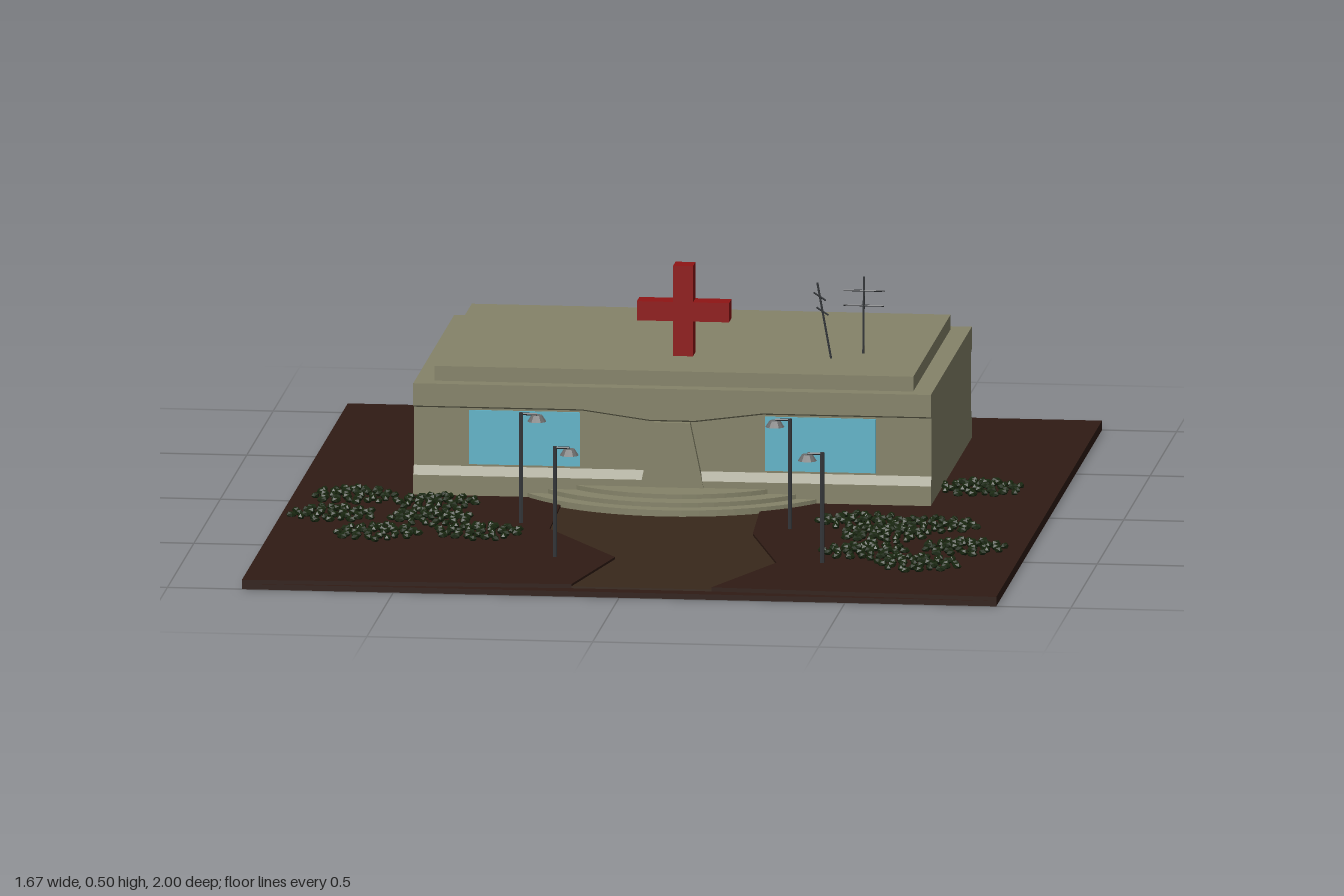
import * as THREE from 'three';
import { mergeGeometries } from 'three/addons/utils/BufferGeometryUtils.js';

const mat = (color) => new THREE.MeshStandardMaterial({ color, flatShading: true });
const M = {
  soil: mat(0x2f1b14), path: mat(0x38281b), wall: mat(0x858369), glass: mat(0x62b4c8),
  red: mat(0x8f1414), leaf: mat(0x18260f), metal: mat(0x34373a), lamp: mat(0x6c6c6c),
};

export function createModel() {
  const root = new THREE.Group();
  const add = (name, geo, material, x = 0, y = 0, z = 0, parent = root) => {
    const m = new THREE.Mesh(geo, material);
    m.name = name;
    m.position.set(x, y, z);
    parent.add(m);
    return m;
  };
  // box given by its limits
  const box = (name, material, x0, x1, y0, y1, z0, z1, parent) =>
    add(name, new THREE.BoxGeometry(x1 - x0, y1 - y0, z1 - z0), material,
      (x0 + x1) / 2, (y0 + y1) / 2, (z0 + z1) / 2, parent);
  // thin rod between two points
  const rod = (name, a, b, r, material = M.metal, parent = root) => {
    const p = new THREE.Vector3(...a), q = new THREE.Vector3(...b);
    const m = add(name, new THREE.CylinderGeometry(r, r, p.distanceTo(q), 6), material, 0, 0, 0, parent);
    m.position.copy(p).add(q).multiplyScalar(0.5);
    m.quaternion.setFromUnitVectors(new THREE.Vector3(0, 1, 0), q.sub(p).normalize());
  };
  // flat slab from an outline of [x, z] points
  const slab = (name, pts, y0, y1, material) => {
    const shape = new THREE.Shape(pts.map(([x, z]) => new THREE.Vector2(x, -z)));
    const geo = new THREE.ExtrudeGeometry(shape, { depth: y1 - y0, bevelEnabled: false });
    add(name, geo.rotateX(-Math.PI / 2), material, 0, y0, 0);
  };

  // Ground with a sunken winding path
  const leftEdge = [[-0.24, 0], [-0.23, 0.35], [-0.05, 0.65], [-0.11, 0.965]];
  const rightEdge = [[0.2, 0], [0.22, 0.35], [0.31, 0.67], [0.2, 0.965]];
  box('groundBase', M.soil, -0.835, 0.835, 0, 0.012, -1, 1);
  slab('path', [...leftEdge, ...rightEdge.slice().reverse()], 0.012, 0.016, M.path);
  slab('leftLawn', [[-0.835, -1], [0, -1], [0, 0], ...leftEdge, [-0.835, 1]], 0.012, 0.021, M.soil);
  slab('rightLawn', [[0.835, -1], [0, -1], [0, 0], ...rightEdge, [0.835, 1]], 0.012, 0.021, M.soil);

  // Building body: a cornice-wall-plinth section carried along x, cornice dipping at the middle
  const midZ = -0.3875, inset = 0.012;
  const stations = [[-0.573, 0.215], [-0.2, 0.215], [-0.05, 0.195], [0.05, 0.195], [0.2, 0.215], [0.573, 0.215]];
  const rings = stations.map(([x, drop]) => {
    const half = [[0, 0.27], [0, drop + 0.005], [-inset, drop], [-inset, 0.085], [0, 0.065], [0, 0.015]];
    const back = half.map(([z, y]) => [2 * midZ - z, y]).reverse();
    return [...half, ...back].map(([z, y]) => [x, y, z]);
  });
  const n = rings[0].length, pos = [];
  const quad = (a, b, c, d) => pos.push(...a, ...b, ...c, ...a, ...c, ...d);
  for (let s = 0; s < rings.length - 1; s++) {
    for (let i = 0; i < n; i++) {
      const j = (i + 1) % n;
      quad(rings[s][i], rings[s][j], rings[s + 1][j], rings[s + 1][i]);
    }
  }
  const L = rings[0], R = rings[rings.length - 1];
  for (let i = 0; i < n / 2 - 1; i++) {
    quad(R[i], R[i + 1], R[n - 2 - i], R[n - 1 - i]);
    quad(L[n - 1 - i], L[n - 2 - i], L[i + 1], L[i]);
  }
  const bodyGeo = new THREE.BufferGeometry();
  bodyGeo.setAttribute('position', new THREE.Float32BufferAttribute(pos, 3));
  bodyGeo.computeVertexNormals();
  add('buildingBody', bodyGeo, M.wall);
  box('roofSlab', M.wall, -0.53, 0.53, 0.265, 0.303, -0.74, -0.035);

  // Windows, front and back
  for (const side of [-1, 1]) {
    for (const z of [-inset, 2 * midZ + inset]) {
      box('window', M.glass, side * 0.3275 - 0.1225, side * 0.3275 + 0.1225, 0.09, 0.211, z - 0.004, z + 0.004);
    }
  }

  // Tapered door
  const door = new THREE.Shape([[-0.07, 0.05], [0.07, 0.05], [0.04, 0.195], [-0.04, 0.195]]
    .map(([x, y]) => new THREE.Vector2(x, y)));
  add('door', new THREE.ExtrudeGeometry(door, { depth: 0.018, bevelEnabled: false }), M.wall, 0, 0, -0.014);

  // Round entrance steps
  [[0.4, 0.03], [0.365, 0.04], [0.32, 0.05]].forEach(([r, top]) =>
    add('entranceStep', new THREE.CylinderGeometry(r, r, top - 0.01, 64), M.wall, 0, (top + 0.01) / 2, -0.24));

  // Roof cross with its rear brace
  const cross = new THREE.Group();
  cross.name = 'roofCross';
  root.add(cross);
  box('crossUpright', M.red, -0.022, 0.022, 0.3, 0.505, -0.255, -0.207, cross);
  for (const s of [-1, 1]) {
    box('crossArm', M.red, s * 0.061 - 0.041, s * 0.061 + 0.041, 0.381, 0.424, -0.255, -0.207, cross);
  }
  rod('crossBrace', [0, 0.4, -0.25], [0, 0.3, -0.315], 0.005, M.metal, cross);

  // Two leaning roof aerials: foot, tip, half crossbar direction
  const aerials = [
    [[0.39, 0.3, -0.285], [0.39, 0.472, -0.3], [0.045, 0, 0]],
    [[0.327, 0.3, -0.22], [0.296, 0.472, -0.22], [0.017, 0, 0.04]],
  ];
  for (const [foot, tip, half] of aerials) {
    const g = new THREE.Group();
    g.name = 'aerial';
    root.add(g);
    rod('aerialMast', foot, tip, 0.0025, M.metal, g);
    for (const t of [0.63, 0.82]) {
      const c = foot.map((v, i) => v + (tip[i] - v) * t);
      rod('aerialBar', c.map((v, i) => v - half[i]), c.map((v, i) => v + half[i]), 0.002, M.metal, g);
    }
  }

  // Street lamps: pole x, head x, z
  for (const [x, hx, z] of [[-0.3, -0.265, 0.29], [-0.182, -0.15, 0.66], [0.295, 0.262, 0.29], [0.41, 0.377, 0.66]]) {
    const g = new THREE.Group();
    g.name = 'streetLamp';
    root.add(g);
    rod('lampPole', [x, 0.012, z], [x, 0.268, z], 0.005, M.metal, g);
    rod('lampArm', [x, 0.265, z], [hx, 0.265, z], 0.003, M.metal, g);
    add('lampHead', new THREE.CylinderGeometry(0.012, 0.021, 0.014, 12), M.lamp, hx, 0.256, z, g);
  }

  // Low shrubs: spiral clusters of small leafy tufts
  const beds = [[-0.7, 0.04], [-0.51, 0.1], [-0.72, 0.25], [-0.5, 0.27], [-0.6, 0.45], [-0.38, 0.42],
    [0.66, -0.2], [0.44, 0.2], [0.61, 0.23], [0.51, 0.35], [0.7, 0.47], [0.49, 0.54], [0.62, 0.66]];
  beds.forEach(([x, z], b) => {
    const tufts = [];
    for (let i = 0; i < 38; i++) {
      const a = i * 2.4 + b, r = Math.sqrt((i + 0.5) / 38);
      const g = new THREE.IcosahedronGeometry(0.011, 0);
      g.scale(1.15, 0.75, 0.75).rotateY(-a + Math.sin(i * 3 + b));
      tufts.push(g.translate(Math.cos(a) * r * 0.095, 0.031 - 0.006 * r, Math.sin(a) * r * 0.09));
    }
    add('shrub', mergeGeometries(tufts), M.leaf, x, 0, z);
  });

  return root;
}
